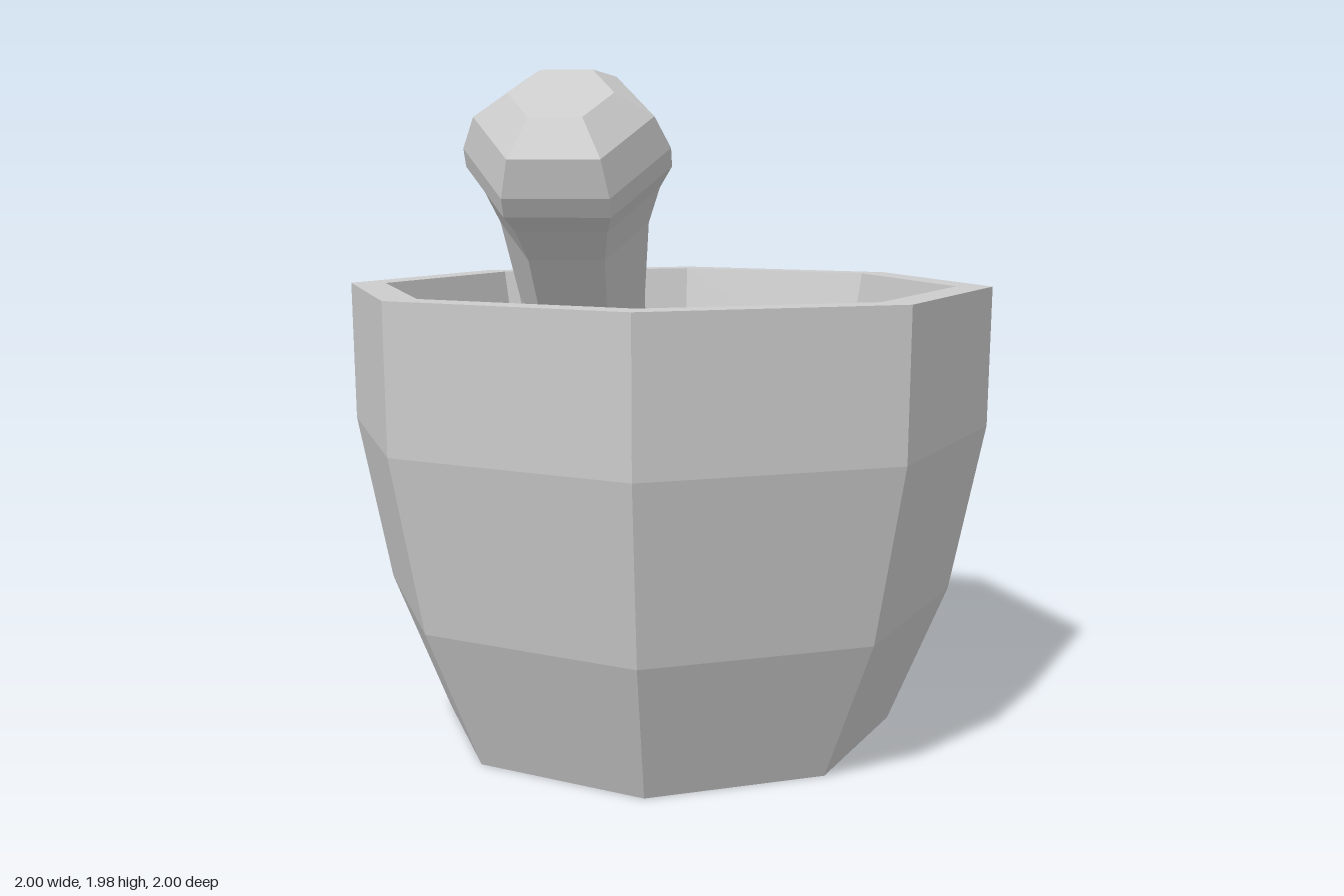
import * as THREE from 'three';

// Faceted or smooth solid of revolution from [radius, height] pairs
function turned(name, profile, sides, phiStart, flat) {
  const points = profile.map(([r, y]) => new THREE.Vector2(r, y));
  const material = new THREE.MeshStandardMaterial({ color: 0xcccccc, flatShading: flat });
  const mesh = new THREE.Mesh(new THREE.LatheGeometry(points, sides, phiStart), material);
  mesh.name = name;
  return mesh;
}

export function createModel() {
  const group = new THREE.Group();
  group.name = 'mortarAndPestle';

  // Eight-sided bowl: base, outer wall, flat rim, inner wall
  group.add(turned('mortarBowl', [
    [0, 0], [0.71, 0], [0.89, 0.43], [0.995, 0.95], [1, 1.38],
    [0.89, 1.38], [0.82, 1.05],
  ], 8, 0, true));

  // Gently domed contents
  group.add(turned('contents', [
    [0.82, 1.05], [0.65, 1.085], [0.45, 1.115], [0.22, 1.13], [0, 1.135],
  ], 8, 0, false));

  // Six-sided pestle leaning forward, its lower end sunk in the contents
  const pestle = turned('pestle', [
    [0, -0.6], [0.16, -0.6], [0.17, -0.3], [0.175, 0], [0.2, 0.25],
    [0.235, 0.36], [0.27, 0.425], [0.27, 0.48], [0.232, 0.573],
    [0.135, 0.641], [0, 0.641],
  ], 6, Math.PI / 2, true);
  pestle.position.set(-0.19, 1.38, 0.515);
  pestle.rotation.x = 0.576;
  group.add(pestle);

  return group;
}
